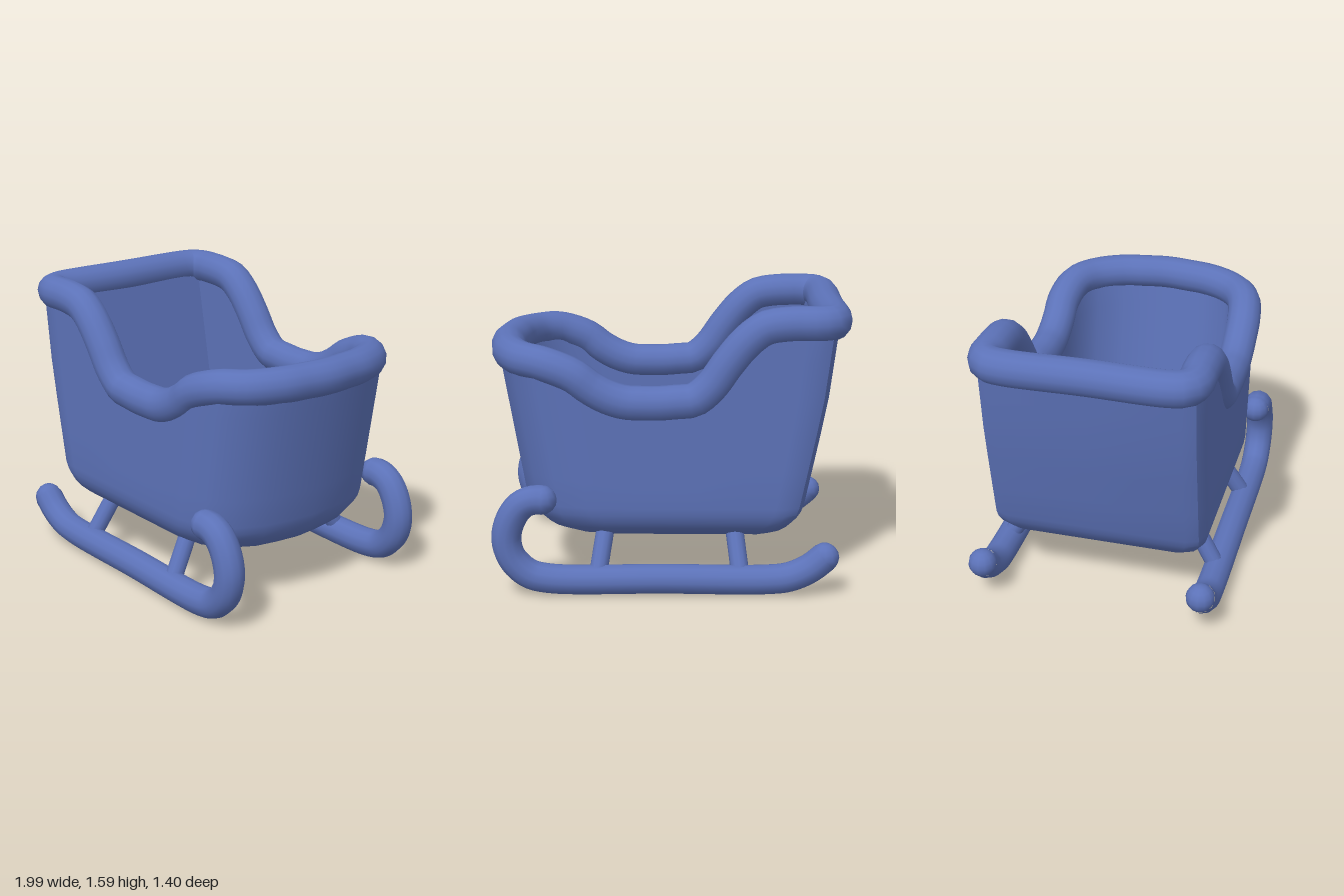
import * as THREE from 'three';
import { toCreasedNormals } from 'three/addons/utils/BufferGeometryUtils.js';

// Linear interpolation through [position, value] knots
function along(knots, t) {
  for (let i = 1; i < knots.length; i++) {
    const [a, va] = knots[i - 1], [b, vb] = knots[i];
    if (t <= b || i === knots.length - 1) return va + (vb - va) * (t - a) / (b - a);
  }
}

// Height of the rim along the sleigh
const RIM = [[-0.9, 1.49], [-0.65, 1.49], [-0.51, 1.46], [-0.4, 1.36], [-0.2, 1.08], [0, 1.055],
  [0.2, 1.055], [0.35, 1.1], [0.5, 1.21], [0.62, 1.26], [0.9, 1.28]];
const rimHeight = (x) => along(RIM, Math.min(0.9, Math.max(-0.9, x)));

// Half plan from the middle of the front round to the middle of the back
const FRONT = [[0, 0], [-0.015, 0.25], [-0.04, 0.5], [-0.12, 0.78], [-0.24, 0.94], [-0.4, 1]];
function plan(xb, xf, hz, corner, sides = 18) {
  const half = FRONT.map(([dx, f]) => [xf + dx, f * hz]);
  const x0 = xf - 0.4, x1 = xb + corner;
  for (let i = 1; i <= sides; i++) half.push([x0 + (x1 - x0) * i / sides, hz]);
  if (corner) half.push([xb + corner * 0.3, hz - corner * 0.3], [xb, hz - corner]);
  half.push([xb, 0]);
  return half.concat(half.slice(1, -1).reverse().map(([x, z]) => [x, -z]));
}

// Wall from a stack of rings whose top follows the rim, closed by a flat base
function shell(ringAt, lowRows, upperRows, inward) {
  const count = ringAt(lowRows[0].y, lowRows[0].inset).length;
  const pos = [], index = [];
  const face = (a, b, c) => index.push(...(inward ? [a, c, b] : [a, b, c]));
  const rows = lowRows.length + upperRows;
  const last = lowRows[lowRows.length - 1].y;
  for (let j = 0; j < count; j++) {
    let top = 1.2;
    for (let n = 0; n < 12; n++) top = rimHeight(ringAt(top, 0)[j][0]);
    for (let k = 0; k < rows; k++) {
      const low = lowRows[k];
      const y = low ? low.y : last + (top - last) * (k - lowRows.length + 1) / upperRows;
      const [x, z] = ringAt(y, low ? low.inset : 0)[j];
      pos.push(x, y, z);
    }
  }
  for (let j = 0; j < count; j++) {
    const a = j * rows, b = ((j + 1) % count) * rows;
    for (let k = 0; k < rows - 1; k++) {
      face(a + k, a + k + 1, b + k);
      face(b + k, a + k + 1, b + k + 1);
    }
    face(count * rows, a, b);
  }
  pos.push(0, lowRows[0].y, 0);
  const geo = new THREE.BufferGeometry();
  geo.setAttribute('position', new THREE.Float32BufferAttribute(pos, 3));
  geo.setIndex(index);
  return toCreasedNormals(geo, 0.7);
}

export function createModel() {
  const blue = new THREE.MeshStandardMaterial({ color: 0x5c72b8 });
  blue.name = 'blue';
  const sleigh = new THREE.Group();
  sleigh.name = 'sleigh';
  const add = (name, geo, parent = sleigh) => {
    const mesh = new THREE.Mesh(geo, blue);
    mesh.name = name;
    parent.add(mesh);
    return mesh;
  };

  // Outer tub with a rounded bottom edge
  const back = [[0.28, -0.715], [0.5, -0.765], [1.05, -0.875], [1.5, -0.93]];
  const rounded = [];
  for (let i = 0; i <= 7; i++) {
    const a = i / 7 * Math.PI / 2;
    rounded.push({ y: 0.28 + 0.2 * (1 - Math.cos(a)), inset: 0.2 * (1 - Math.sin(a)) });
  }
  add('tubOuter', shell((y, inset) => plan(along(back, y) + inset,
    0.787 + 0.167 * (y - 0.28) - inset, 0.605 - inset, 0.1), rounded, 5, false));

  // Inner walls and floor
  add('tubInner', shell((y) => plan(-0.62 - 0.186 * (y - 0.36), 0.68 + 0.188 * (y - 0.36), 0.505, 0),
    [{ y: 0.36, inset: 0 }], 5, true));

  // Padded rim
  const rimPoints = plan(-0.9, 0.895, 0.55, 0.09, 14).map(([x, z]) => new THREE.Vector3(x, rimHeight(x), z));
  add('rim', new THREE.TubeGeometry(new THREE.CatmullRomCurve3(rimPoints, true), 140, 0.097, 14, true));

  // Runners with a curled front, and their struts
  const runnerPath = [[-0.87, 0.215], [-0.79, 0.15], [-0.68, 0.1], [-0.56, 0.085], [0, 0.085], [0.64, 0.085],
    [0.75, 0.115], [0.835, 0.2], [0.865, 0.31], [0.84, 0.42], [0.78, 0.505], [0.71, 0.535], [0.665, 0.535]];
  for (const side of [1, -1]) {
    const group = new THREE.Group();
    group.name = side > 0 ? 'frontSideRunner' : 'backSideRunner';
    const pts = runnerPath.map(([x, y]) => new THREE.Vector3(x, y, side * 0.62));
    add('runner', new THREE.TubeGeometry(new THREE.CatmullRomCurve3(pts), 90, 0.082, 12), group);
    for (const [p, r] of [[pts[0], 0.08], [pts[pts.length - 1], 0.08]]) {
      const tip = add('runnerTip', new THREE.SphereGeometry(r, 12, 8), group);
      tip.position.copy(p);
    }
    for (const [xTop, xLow] of [[-0.38, -0.415], [0.33, 0.37]]) {
      const line = new THREE.LineCurve3(new THREE.Vector3(xLow, 0.09, side * 0.622),
        new THREE.Vector3(xTop, 0.335, side * 0.475));
      add('strut', new THREE.TubeGeometry(line, 1, 0.05, 12), group);
    }
    sleigh.add(group);
  }
  return sleigh;
}
